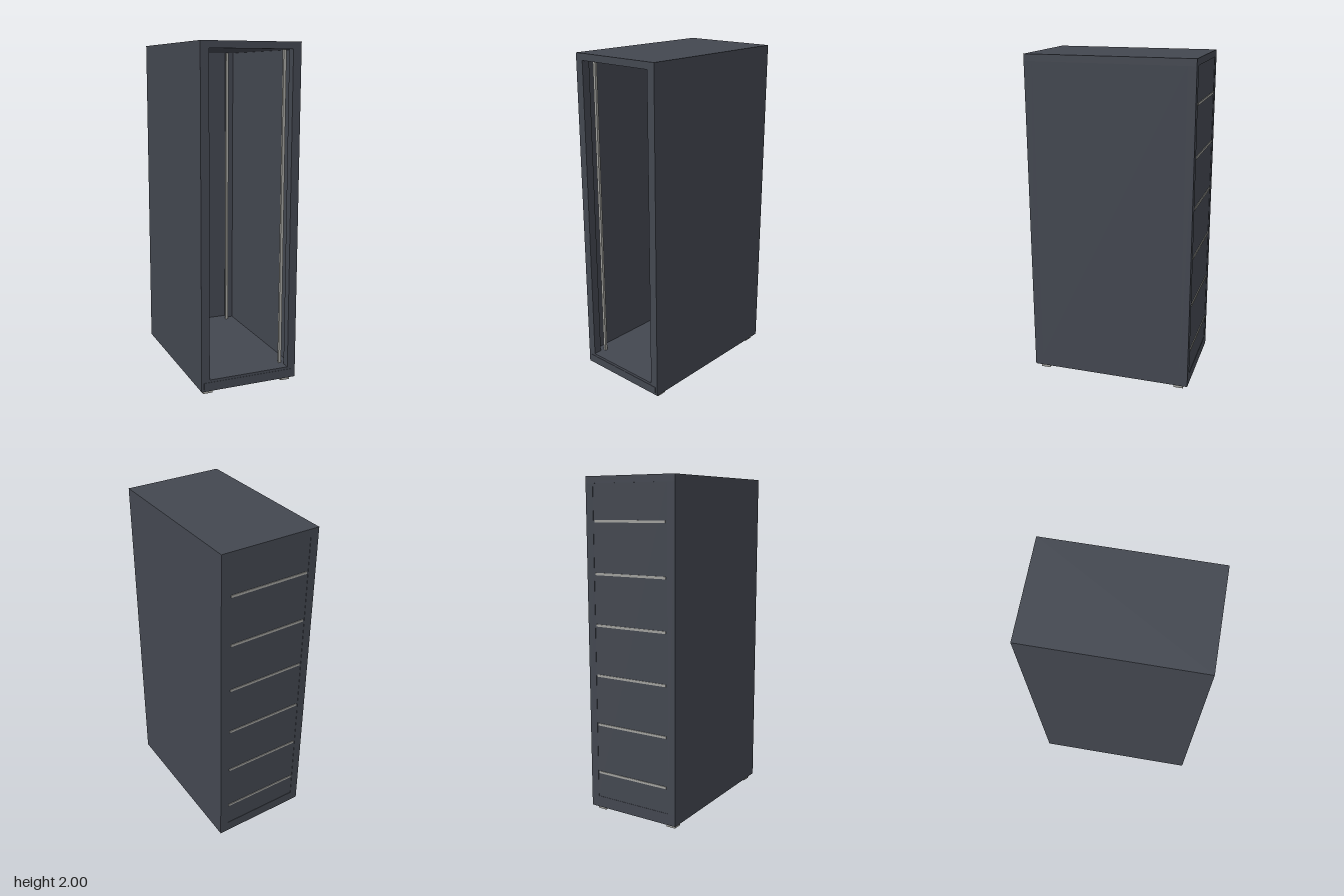
import * as THREE from 'three';

export function createModel() {
  const group = new THREE.Group();
  const dark = new THREE.MeshStandardMaterial({ color: 0x434750 });
  const metal = new THREE.MeshStandardMaterial({ color: 0xa0a09c });

  // Box given by its size and centre
  const box = (name, material, [w, h, d], [x, y, z]) => {
    const mesh = new THREE.Mesh(new THREE.BoxGeometry(w, h, d), material);
    mesh.name = name;
    mesh.position.set(x, y, z);
    group.add(mesh);
  };

  const baseBottom = 0.027, baseTop = 0.095, roofBottom = 1.96;
  const innerH = roofBottom - baseTop;
  const midY = (roofBottom + baseTop) / 2;

  // Base with its front plate, and the roof
  box('base', dark, [0.6, baseTop - baseBottom, 1], [0, (baseTop + baseBottom) / 2, 0]);
  box('basePlate', dark, [0.57, 0.038, 0.01], [0, 0.061, 0.497]);
  box('roof', dark, [0.6, 2 - roofBottom, 1], [0, (2 + roofBottom) / 2, 0]);

  for (const sx of [-1, 1]) {
    // Thin side wall between the corner posts
    box('sidePanel', dark, [0.008, innerH, 0.9], [sx * 0.296, midY, 0]);
    for (const sz of [-1, 1]) {
      box('cornerPost', dark, [0.05, innerH, 0.05], [sx * 0.275, midY, sz * 0.475]);
      box('mountingRail', metal, [0.017, innerH, 0.015], [sx * 0.236, midY, sz * 0.42]);
      box('foot', metal, [0.058, baseBottom, 0.058], [sx * 0.25, baseBottom / 2, sz * 0.44]);
    }
  }

  // Back panel with its horizontal strips
  box('backPanel', dark, [0.5, innerH, 0.012], [0, midY, -0.492]);
  for (let i = 0; i < 6; i++) {
    box('backStrip', metal, [0.48, 0.014, 0.008], [0, 0.25 + i * 0.3, -0.498]);
  }

  return group;
}
